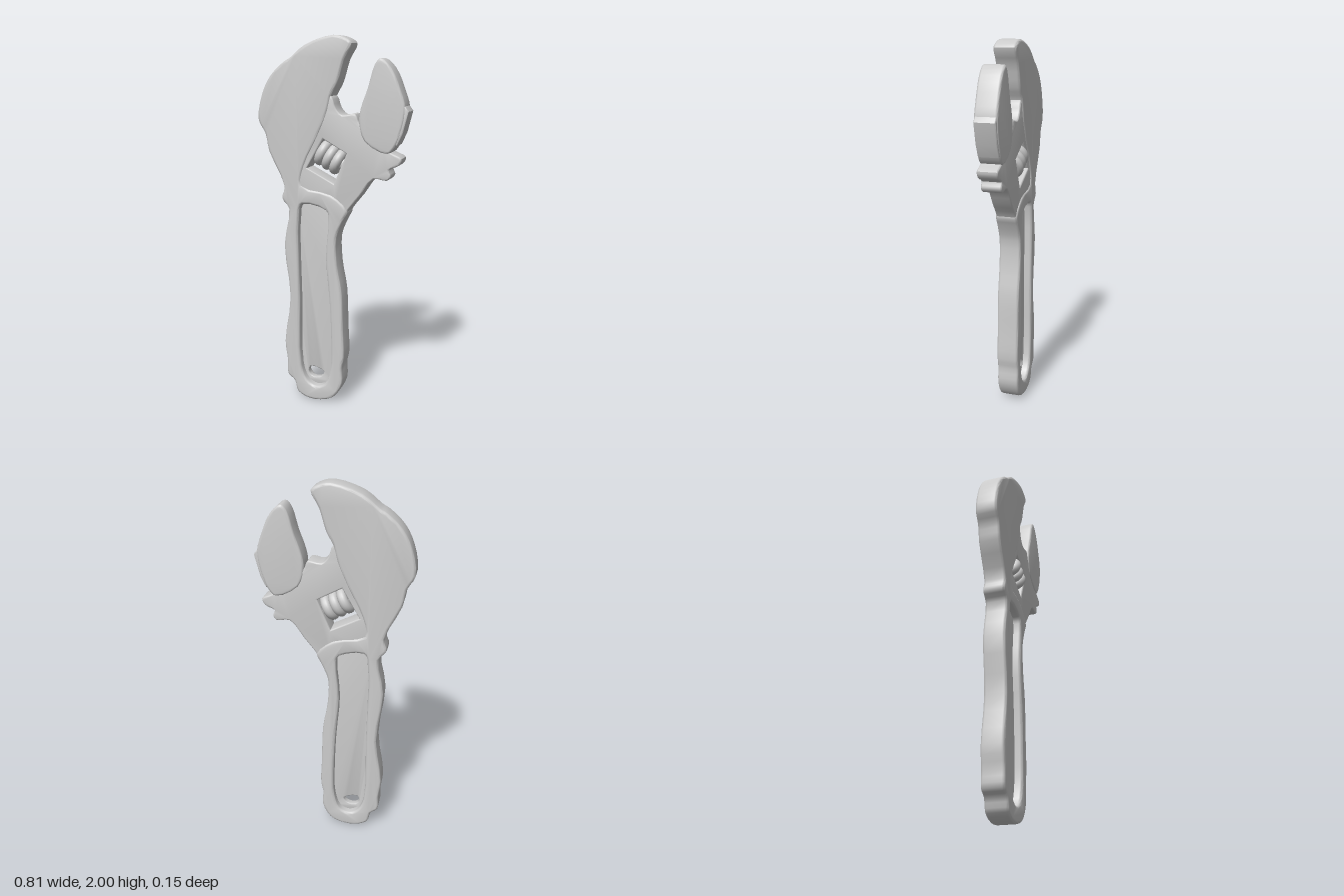
import * as THREE from 'three';
import { toCreasedNormals } from 'three/addons/utils/BufferGeometryUtils.js';

const material = new THREE.MeshStandardMaterial({ color: 0xcccccc });

// Closed smooth loop through [x, y] pairs
function smoothLoop(pairs, steps = 3) {
  const curve = new THREE.CatmullRomCurve3(
    pairs.map(([x, y]) => new THREE.Vector3(x, y, 0)), true, 'centripetal');
  const count = pairs.length * steps;
  return Array.from({ length: count }, (_, i) => {
    const p = curve.getPoint(i / count);
    return new THREE.Vector2(p.x, p.y);
  });
}

const sharpLoop = (pairs) => pairs.map(([x, y]) => new THREE.Vector2(x, y));

// Flat forged piece, centred on z = 0, with softened rims.
// All loops are listed clockwise; holes are reversed so their walls face inwards.
function plate(name, outline, halfDepth, bevel, holes = []) {
  const shape = new THREE.Shape(outline);
  for (const hole of holes) shape.holes.push(new THREE.Path(hole.reverse()));
  const geometry = new THREE.ExtrudeGeometry(shape, {
    depth: 2 * (halfDepth - bevel), bevelEnabled: true, bevelThickness: bevel,
    bevelSize: bevel, bevelOffset: -bevel, bevelSegments: 3,
  });
  geometry.translate(0, 0, bevel - halfDepth);
  const mesh = new THREE.Mesh(toCreasedNormals(geometry, 0.75), material);
  mesh.name = name;
  return mesh;
}

export function createModel() {
  const wrench = new THREE.Group();
  wrench.name = 'adjustableWrench';

  // Fixed jaw, head and handle rim in one piece
  const frame = smoothLoop([
    [0.01, 2.0], [0.075, 1.987], [0.11, 1.96], [0.07, 1.88], [0.035, 1.765], [0, 1.7],
    [-0.02, 1.62], [-0.075, 1.49], [-0.15, 1.335], [-0.165, 1.23], [0, 1.19], [0.09, 1.11],
    [0.065, 1.05], [0.03, 0.96], [0.033, 0.81], [0.06, 0.655], [0.068, 0.44], [0.074, 0.28],
    [0.062, 0.215], [0.064, 0.125], [0.02, 0.04], [-0.035, 0.01], [-0.125, 0.002],
    [-0.2, 0.035], [-0.22, 0.1], [-0.26, 0.135], [-0.262, 0.22], [-0.275, 0.335],
    [-0.24, 0.6], [-0.27, 0.9], [-0.24, 1.1], [-0.28, 1.155], [-0.265, 1.22],
    [-0.35, 1.405], [-0.37, 1.5], [-0.408, 1.57], [-0.385, 1.705], [-0.335, 1.8],
    [-0.26, 1.87], [-0.225, 1.89], [-0.14, 1.955],
  ]);
  const recess = smoothLoop([
    [-0.18, 1.1], [-0.16, 1.13], [-0.03, 1.105], [-0.015, 1.07], [-0.03, 0.85], [-0.01, 0.6],
    [0, 0.35], [-0.005, 0.2], [-0.035, 0.11], [-0.09, 0.085], [-0.145, 0.115],
    [-0.178, 0.2], [-0.182, 0.6],
  ]);
  wrench.add(plate('headAndHandle', frame, 0.06, 0.014, [recess]));

  // Thin floor of the handle recess, with the hanging hole
  const floor = sharpLoop([[-0.21, 1.15], [0.01, 1.15], [0, 0.7], [0.03, 0.3], [0.02, 0.1],
    [-0.09, 0.06], [-0.2, 0.1], [-0.21, 0.6]]);
  const hangingHole = smoothLoop([[-0.135, 0.185], [-0.055, 0.162], [-0.07, 0.132],
    [-0.115, 0.122], [-0.145, 0.145]]);
  wrench.add(plate('handleFloor', floor, 0.018, 0.005, [hangingHole]));

  // Neck with the slot for the adjusting screw and the guide lug
  const neck = smoothLoop([
    [-0.04, 1.7], [0, 1.7], [0.025, 1.64], [0.06, 1.605], [0.13, 1.612], [0.15, 1.57],
    [0.22, 1.5], [0.315, 1.425], [0.375, 1.395], [0.36, 1.36], [0.31, 1.335],
    [0.32, 1.305], [0.3, 1.28], [0.23, 1.285], [0.155, 1.19], [0.095, 1.115],
    [0.06, 1.06], [0.02, 1.14], [-0.2, 1.16], [-0.2, 1.4],
  ]);
  const slot = sharpLoop([[-0.045, 1.48], [0.085, 1.41], [0.015, 1.25], [-0.135, 1.325]]);
  wrench.add(plate('neck', neck, 0.054, 0.008, [slot]));

  // Sliding jaw and the rib along its back
  const jaw = smoothLoop([
    [0.15, 1.57], [0.158, 1.64], [0.195, 1.745], [0.23, 1.86], [0.26, 1.887],
    [0.315, 1.84], [0.365, 1.73], [0.39, 1.64], [0.365, 1.51], [0.335, 1.445],
    [0.3, 1.415], [0.18, 1.475],
  ]);
  wrench.add(plate('slidingJaw', jaw, 0.059, 0.012));
  const rib = sharpLoop([[0.34, 1.66], [0.388, 1.655], [0.406, 1.63], [0.378, 1.52],
    [0.35, 1.46], [0.3, 1.47]]);
  wrench.add(plate('jawRib', rib, 0.055, 0.006));

  // Adjusting screw: a pin carrying three rounded threads, lying along the slot
  const screw = new THREE.Group();
  screw.name = 'adjustingScrew';
  const pin = new THREE.Mesh(new THREE.CylinderGeometry(0.036, 0.036, 0.17, 24), material);
  pin.name = 'screwPin';
  pin.rotation.z = Math.PI / 2;
  screw.add(pin);
  for (const x of [-0.047, 0, 0.047]) {
    const thread = new THREE.Mesh(new THREE.TorusGeometry(0.05, 0.026, 14, 36), material);
    thread.name = 'screwThread';
    thread.rotation.y = Math.PI / 2;
    thread.position.x = x;
    screw.add(thread);
  }
  screw.position.set(-0.014, 1.384, 0);
  screw.rotation.z = -0.48;
  wrench.add(screw);

  return wrench;
}
